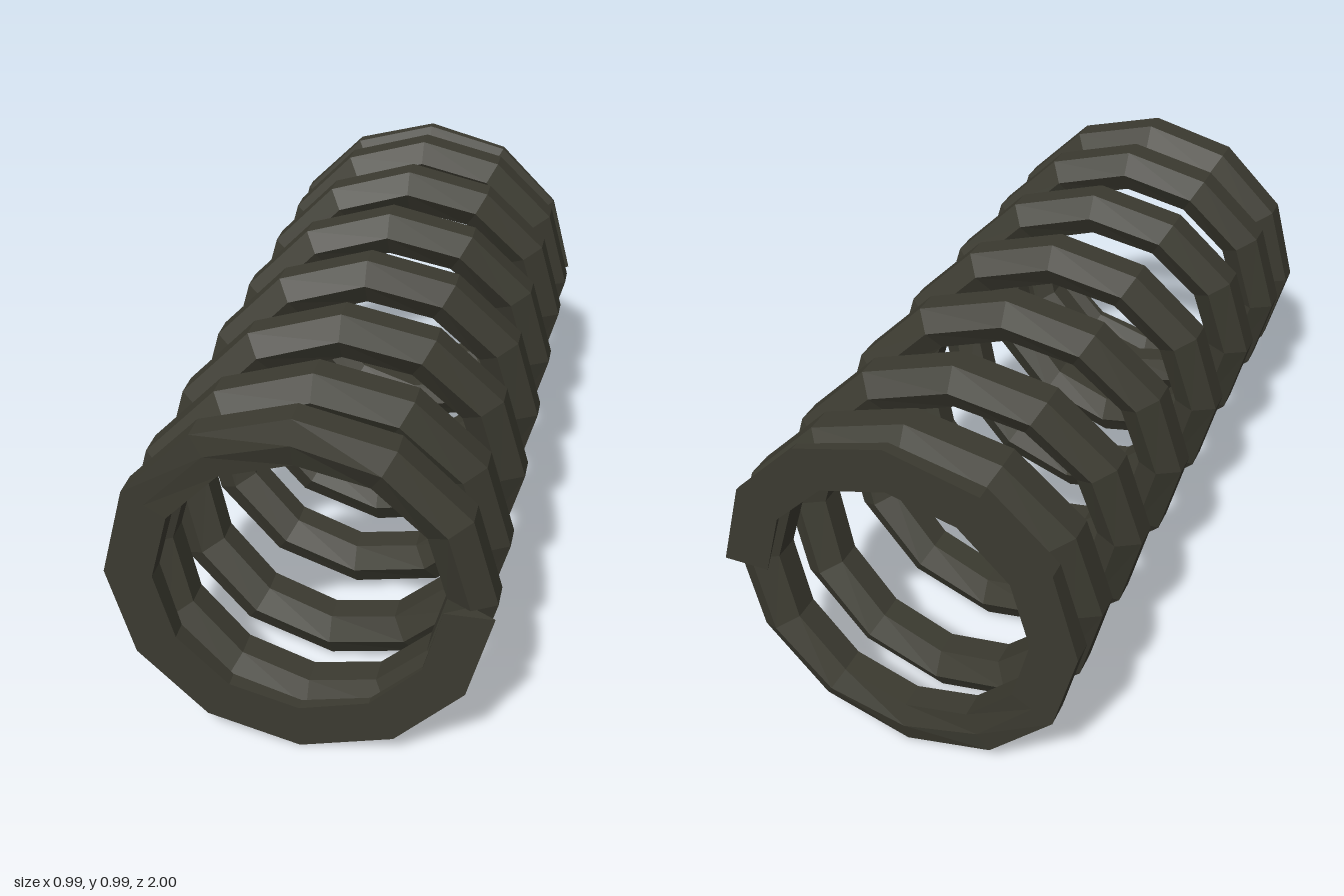
import * as THREE from 'three';

const STEPS = 12;            // straight pieces per turn
const TURNS = 4;             // turns on each side of the middle
const COIL_RADIUS = 0.431;
const WIRE_RADIUS = 0.073;   // hexagonal wire, flat side outward
const SIDES = 6;
const CENTRE_Y = 0.498;

// Height along the axis: open coils in the middle, closed coils at both ends
const HEIGHTS = [0, 0.33, 0.66, 0.905, 1.035];
const PROFILE = new THREE.CatmullRomCurve3(
  [...HEIGHTS.slice(1).reverse().map((z, i) => new THREE.Vector3(i - TURNS, -z, 0)),
    ...HEIGHTS.map((z, i) => new THREE.Vector3(i, z, 0))],
);
const axial = (turn) => PROFILE.getPoint((turn + TURNS) / (2 * TURNS)).y;

// Wire swept along the helix, ground flat at z = -1 and z = 1
function springGeometry() {
  const rings = 2 * TURNS * STEPS;
  const pos = [], index = [];
  for (let i = 0; i <= rings; i++) {
    const turn = i / STEPS - TURNS;
    const a = turn * Math.PI * 2;
    for (let j = 0; j < SIDES; j++) {
      const b = ((j + 0.5) / SIDES) * Math.PI * 2;
      const r = COIL_RADIUS + WIRE_RADIUS * Math.cos(b);
      const z = axial(turn) + WIRE_RADIUS * Math.sin(b);
      pos.push(r * Math.cos(a), CENTRE_Y + r * Math.sin(a), THREE.MathUtils.clamp(z, -1, 1));
    }
  }
  for (let i = 0; i < rings; i++) {
    for (let j = 0; j < SIDES; j++) {
      const k = (j + 1) % SIDES;
      const p = i * SIDES + j, q = i * SIDES + k;
      index.push(p, p + SIDES, q, q, p + SIDES, q + SIDES);
    }
  }
  // Caps on the two wire ends
  const last = rings * SIDES;
  for (let j = 1; j < SIDES - 1; j++) {
    index.push(0, j, j + 1, last, last + j + 1, last + j);
  }
  const indexed = new THREE.BufferGeometry();
  indexed.setAttribute('position', new THREE.Float32BufferAttribute(pos, 3));
  indexed.setIndex(index);
  const geometry = indexed.toNonIndexed();
  geometry.computeVertexNormals();
  return geometry;
}

export function createModel() {
  const darkSteel = new THREE.MeshStandardMaterial({ color: 0x3b3a30 });
  darkSteel.name = 'darkSteel';

  const coil = new THREE.Mesh(springGeometry(), darkSteel);
  coil.name = 'springCoil';

  const model = new THREE.Group();
  model.name = 'compressionSpring';
  model.add(coil);
  return model;
}
